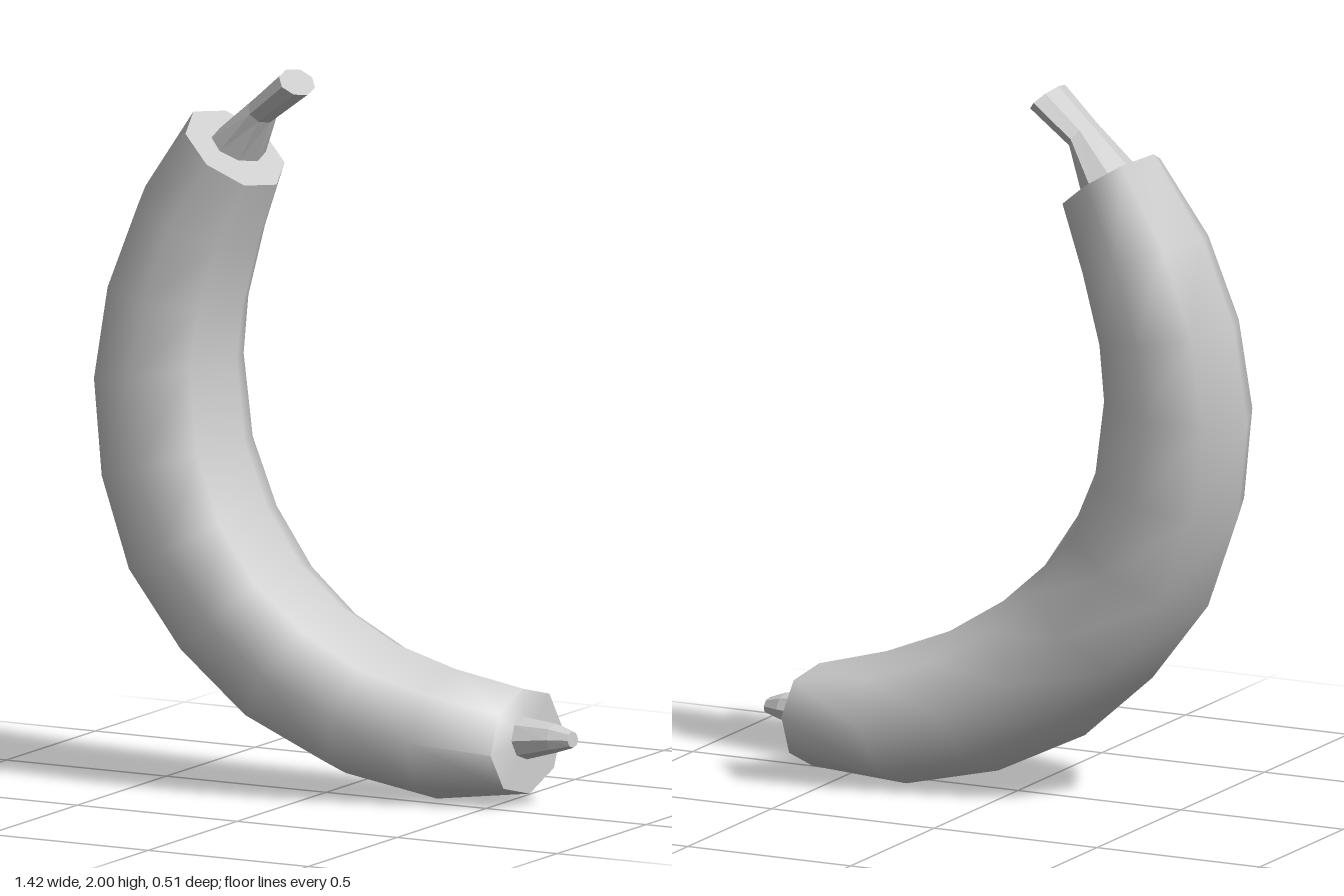
import * as THREE from 'three';
import { toCreasedNormals } from 'three/addons/utils/BufferGeometryUtils.js';

const SIDES = 8;

// Each ring: [outer x, outer y, inner x, inner y, centre z, half depth, side x shift, side y shift]
function loft(rings) {
  const pos = [];
  const pts = rings.map(([ox, oy, ix, iy, z, rz, sx = 0, sy = 0]) => {
    const c = new THREE.Vector3((ox + ix) / 2, (oy + iy) / 2, z);
    const u = new THREE.Vector3((ox - ix) / 2, (oy - iy) / 2, 0);
    const v = new THREE.Vector3(sx, sy, rz);
    const loop = [];
    for (let k = 0; k < SIDES; k++) {
      const a = (k / SIDES) * Math.PI * 2;
      loop.push(c.clone().addScaledVector(u, Math.cos(a)).addScaledVector(v, Math.sin(a)));
    }
    return { c, loop };
  });
  const tri = (...p) => p.forEach((q) => pos.push(q.x, q.y, q.z));
  const first = pts[0], last = pts[pts.length - 1];
  for (let k = 0; k < SIDES; k++) {
    const n = (k + 1) % SIDES;
    for (let i = 0; i < pts.length - 1; i++) {
      const A = pts[i].loop, B = pts[i + 1].loop;
      tri(A[k], B[k], A[n]);
      tri(A[n], B[k], B[n]);
    }
    // End caps
    tri(first.c, first.loop[k], first.loop[n]);
    tri(last.c, last.loop[n], last.loop[k]);
  }
  const geo = new THREE.BufferGeometry();
  geo.setAttribute('position', new THREE.Float32BufferAttribute(pos, 3));
  geo.computeVertexNormals();
  return geo;
}

export function createModel() {
  const group = new THREE.Group();
  const add = (name, geo, flatShading) => {
    const mat = new THREE.MeshStandardMaterial({ color: 0xcccccc, flatShading });
    const mesh = new THREE.Mesh(geo, mat);
    mesh.name = name;
    group.add(mesh);
  };

  // Curved fruit body, from the stem end down to the tip end
  const body = loft([
    [-0.44, 1.85, -0.18, 1.67, -0.045, 0.16, 0, -0.02],
    [-0.59, 1.63, -0.24, 1.50, -0.045, 0.19, 0, -0.01],
    [-0.68, 1.38, -0.28, 1.32, -0.03, 0.2],
    [-0.71, 1.11, -0.285, 1.18, -0.01, 0.213],
    [-0.67, 0.84, -0.25, 0.96, 0.01, 0.223],
    [-0.57, 0.58, -0.17, 0.79, 0.028, 0.228],
    [-0.40, 0.36, -0.07, 0.64, 0.026, 0.226],
    [-0.20, 0.18, 0.05, 0.53, 0.01, 0.215],
    [0.05, 0.06, 0.20, 0.435, -0.02, 0.2, -0.01],
    [0.31, 0.005, 0.37, 0.37, -0.065, 0.18, -0.02],
    [0.575, 0.035, 0.555, 0.325, -0.11, 0.147, -0.03, -0.02],
  ]);
  add('body', toCreasedNormals(body, 1.1), false);

  // Stem, flared where it meets the body
  add('stem', loft([
    [-0.13, 2.0, -0.065, 1.935, -0.012, 0.085],
    [-0.235, 1.91, -0.19, 1.845, -0.025, 0.073],
    [-0.36, 1.81, -0.24, 1.73, -0.048, 0.108],
  ]), true);

  // Small tapered tip at the blossom end
  add('tip', loft([
    [0.56, 0.128, 0.56, 0.248, -0.107, 0.058, -0.01],
    [0.655, 0.155, 0.65, 0.235, -0.12, 0.042, -0.008],
    [0.705, 0.172, 0.7, 0.217, -0.123, 0.023, -0.004],
  ]), true);

  return group;
}
